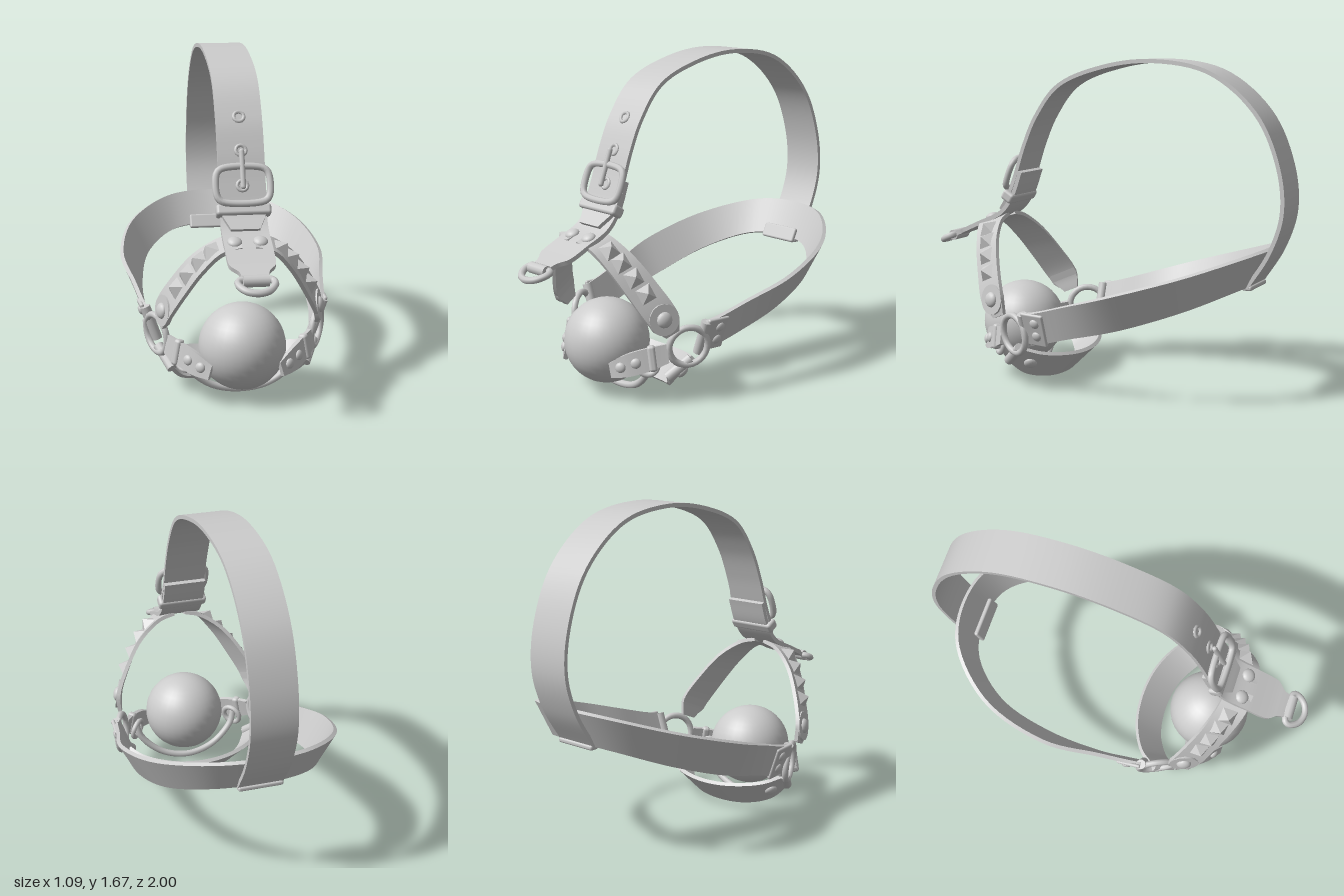
import * as THREE from 'three';
import { RoundedBoxGeometry } from 'three/addons/geometries/RoundedBoxGeometry.js';

const mat = new THREE.MeshStandardMaterial({ color: 0xcccccc });
const V = (x, y, z) => new THREE.Vector3(x, y, z);
const vecs = (list) => list.map((a) => V(...a));

// Every geometry gets an index so that it can be mirrored
function add(parent, name, geo) {
  if (!geo.index) geo.setIndex([...Array(geo.attributes.position.count).keys()]);
  const m = new THREE.Mesh(geo, mat);
  m.name = name;
  parent.add(m);
  return m;
}

// Flat strap swept along pts; ws are half-width vectors. Returns a frame lookup by point index.
function strap(parent, name, pts, ws, thick = 0.02, seg = 48) {
  const path = new THREE.CatmullRomCurve3(vecs(pts));
  const wide = new THREE.CatmullRomCurve3(vecs(ws), false, 'catmullrom');
  const frame = (k) => {
    const u = k / (pts.length - 1);
    const p = path.getPoint(u), t = path.getTangent(u), w = wide.getPoint(u);
    return { p, w, n: t.cross(w).normalize() };
  };
  const rings = [];
  for (let i = 0; i <= seg; i++) {
    const { p, w, n } = frame((i / seg) * (pts.length - 1));
    rings.push([[-1, -1], [1, -1], [1, 1], [-1, 1]].map(([a, b]) =>
      p.clone().addScaledVector(w, a).addScaledVector(n, (b * thick) / 2)));
  }
  const pos = [], idx = [];
  const put = (v) => pos.push(v.x, v.y, v.z) / 3 - 1;
  for (let c = 0; c < 4; c++) {
    rings.forEach((r, i) => {
      const a = put(r[c]), b = put(r[(c + 1) % 4]);
      if (i < seg) idx.push(a, b, b + 2, a, b + 2, a + 2);
    });
  }
  const s = rings[0].map(put), e = rings[seg].map(put);
  idx.push(s[0], s[2], s[1], s[0], s[3], s[2], e[0], e[1], e[2], e[0], e[2], e[3]);
  const g = new THREE.BufferGeometry();
  g.setAttribute('position', new THREE.Float32BufferAttribute(pos, 3));
  g.setIndex(idx);
  g.computeVertexNormals();
  add(parent, name, g);
  return frame;
}

// Puts a mesh on a strap: local x across, y out of the surface, z along the strap
function seat(mesh, f, across = 0, out = 0.01, along = 0) {
  const x = f.w.clone().normalize(), z = x.clone().cross(f.n).normalize();
  const y = z.clone().cross(x);
  mesh.quaternion.setFromRotationMatrix(new THREE.Matrix4().makeBasis(x, y, z));
  mesh.position.copy(f.p).addScaledVector(f.w, across).addScaledVector(y, out).addScaledVector(z, along);
}

const rivetGeo = (r) => new THREE.SphereGeometry(r, 14, 6, 0, Math.PI * 2, 0, Math.PI / 2).scale(1, 0.6, 1);
const wire = (list, r, closed = false) =>
  new THREE.TubeGeometry(new THREE.CatmullRomCurve3(vecs(list), closed), 48, r, 8, closed);
const mirrorX = (list) => [...list, ...list.slice(0, -1).reverse().map(([x, y, z]) => [-x, y, z])];

// Rod lying across a strap, such as a fold of leather round a ring
const crossRod = (r, len) => new THREE.CylinderGeometry(r, r, len, 12).rotateZ(Math.PI / 2);

// An x-mirrored copy with baked geometry
function mirrored(src, name) {
  const out = new THREE.Group();
  out.name = name;
  for (const m of src.children) {
    m.updateMatrix();
    const g = m.geometry.clone().applyMatrix4(m.matrix).scale(-1, 1, 1);
    const a = g.index.array;
    for (let i = 0; i < a.length; i += 3) [a[i + 1], a[i + 2]] = [a[i + 2], a[i + 1]];
    add(out, m.name, g);
  }
  return out;
}

function buildSide() {
  const side = new THREE.Group();
  side.name = 'leftSide';

  // Studded cheek strap
  const cheek = strap(side, 'cheekStrap',
    [[0.03, 0.825, 0.63], [0.12, 0.8, 0.62], [0.22, 0.715, 0.58], [0.31, 0.585, 0.52], [0.38, 0.45, 0.455], [0.39, 0.37, 0.41]],
    [[0, 0.02, -0.07], [0, 0.02, -0.07], [0.015, 0.025, -0.07], [0.02, 0.03, -0.07], [0.02, 0.03, -0.068], [0.01, 0.015, -0.035]]);
  for (let i = 0; i < 4; i++) {
    const cone = new THREE.ConeGeometry(0.058, 0.045, 4).rotateY(Math.PI / 4).toNonIndexed();
    cone.computeVertexNormals();
    seat(add(side, 'pyramidStud', cone), cheek(1.4 + i * 0.56), 0, 0.03);
  }
  seat(add(side, 'cheekRivet', rivetGeo(0.04)), cheek(4));
  seat(add(side, 'cheekEnd', new THREE.CylinderGeometry(0.078, 0.078, 0.022, 16)), cheek(4), 0, 0);

  // Ball tab with two rivets and its link
  const tab = strap(side, 'ballTab',
    [[0.17, 0.18, 0.615], [0.24, 0.21, 0.56], [0.31, 0.24, 0.48], [0.36, 0.265, 0.41]],
    [[-0.01, 0.035, 0], [-0.01, 0.055, 0], [-0.01, 0.055, 0], [-0.01, 0.045, 0]], 0.022, 20);
  for (const k of [0.6, 1.35]) seat(add(side, 'ballTabRivet', rivetGeo(0.026)), tab(k));
  seat(add(side, 'ballTabLoop', new RoundedBoxGeometry(0.13, 0.045, 0.04, 2, 0.015)), tab(2.1), 0, 0);
  const link = add(side, 'smallLink', new THREE.TorusGeometry(0.05, 0.014, 8, 20));
  link.position.set(0.28, 0.2, 0.47);
  link.lookAt(1.1, 0.4, 1.2);

  // Ring joining all straps of this side
  const ring = add(side, 'sideRing', new THREE.TorusGeometry(0.098, 0.017, 8, 28));
  ring.position.set(0.405, 0.29, 0.315);
  ring.lookAt(1.3, 0.2, 0.75);
  return side;
}

export function createModel() {
  const root = new THREE.Group();
  root.name = 'strapHarness';

  add(root, 'ball', new THREE.SphereGeometry(0.215, 32, 20)).position.set(0, 0.267, 0.49);

  const left = buildSide();
  root.add(left, mirrored(left, 'rightSide'));

  // Band round the back
  const backHalf = [[0.425, 0.325, 0.24], [0.44, 0.345, 0.15], [0.465, 0.39, 0], [0.488, 0.47, -0.28], [0.415, 0.575, -0.6], [0.22, 0.655, -0.81], [0, 0.672, -0.86]];
  const backWide = [[0.03, 0.085, 0], [0.03, 0.085, 0], [0.03, 0.085, 0], [0.05, 0.09, 0], [0.04, 0.09, -0.02], [0.015, 0.09, -0.04], [0, 0.09, -0.045]];
  const back = strap(root, 'backBand', mirrorX(backHalf), mirrorX(backWide), 0.02, 80);

  // Band under the chin
  const chinHalf = [[0.365, 0.175, 0.34], [0.3, 0.125, 0.265], [0.17, 0.095, 0.195], [0, 0.085, 0.17]];
  const chinWide = [[0.03, 0.045, -0.05], [0.02, 0.06, -0.065], [0.005, 0.065, -0.068], [0, 0.065, -0.068]];
  const chin = strap(root, 'chinBand', mirrorX(chinHalf), mirrorX(chinWide));

  // Folded ends and rivets of both bands; each pair is an end and a step inward
  for (const [end, step] of [[0, 1], [12, -1]]) {
    const f = back(end);
    seat(add(root, 'backBandFold', crossRod(0.026, f.w.length() * 2)), f, 0, 0);
    seat(add(root, 'backBandFlap', new RoundedBoxGeometry(0.18, 0.02, 0.13, 2, 0.009)), back(end + step * 0.75), 0, 0.012);
    for (const s of [-0.4, 0.4]) seat(add(root, 'backBandRivet', rivetGeo(0.026)), back(end + step * 0.9), s, 0.02);
  }
  for (const [end, step] of [[0, 1], [6, -1]]) {
    const f = chin(end);
    seat(add(root, 'chinBandFold', crossRod(0.026, f.w.length() * 2)), f, 0, 0);
    seat(add(root, 'chinRivet', rivetGeo(0.034)), chin(end + step * 0.85));
  }

  // Wire hoop under the ball
  add(root, 'lowerHoop', wire(mirrorX([[0.29, 0.25, 0.47], [0.265, 0.16, 0.455], [0.15, 0.055, 0.43], [0, 0.02, 0.415]]), 0.018));

  // Strap over the head
  const w = 0.113;
  const headPts = [[0, 0.87, 0.59], [0, 0.95, 0.52], [0, 1.06, 0.475], [0, 1.22, 0.42], [0, 1.37, 0.35], [0, 1.53, 0.22],
    [0, 1.625, -0.02], [0, 1.66, -0.3], [0, 1.605, -0.61], [0, 1.41, -0.85], [0, 1.155, -0.965], [0, 0.94, -0.985], [0, 0.75, -0.925], [0, 0.575, -0.815]];
  const head = strap(root, 'headStrap', headPts, headPts.map((p, i) => [i ? -w : -0.07, 0, 0]), 0.02, 90);
  for (const k of [2, 3, 4]) {
    seat(add(root, 'eyelet', new THREE.TorusGeometry(0.025, 0.009, 6, 12).rotateX(Math.PI / 2)), head(k));
  }
  // Tuck of the head strap round the back band
  const tuck = add(root, 'headStrapTuck', new RoundedBoxGeometry(0.225, 0.08, 0.025, 2, 0.01));
  tuck.position.set(0, 0.6, -0.795);
  tuck.rotation.x = -0.46;
  const hem = add(root, 'headStrapHem', new RoundedBoxGeometry(0.225, 0.025, 0.05, 2, 0.01));
  hem.position.set(0, 0.572, -0.815);

  // Buckle, prong and keeper
  const bx = 0.125, bz = 0.08, c = 0.025;
  const frameLoop = [];
  for (const [sx, sz] of [[1, 1], [-1, 1], [-1, -1], [1, -1]]) {
    const a = [sx * bx, 0, sz * (bz - c)], b = [sx * (bx - c), 0, sz * bz];
    frameLoop.push(...(sx * sz > 0 ? [a, b] : [b, a]));
  }
  seat(add(root, 'buckleFrame', wire(frameLoop, 0.017, true)), head(2), 0, 0.03);
  seat(add(root, 'buckleProng', new THREE.CapsuleGeometry(0.013, 0.17, 4, 8).rotateX(Math.PI / 2)), head(2), 0, 0.04, 0.075);
  seat(add(root, 'keeper', new RoundedBoxGeometry(0.265, 0.07, 0.055, 2, 0.015)), head(1), 0, -0.005);

  // Front tab with rivets and hanging ring
  const tab = strap(root, 'frontTab',
    [[0, 1.08, 0.445], [0, 0.95, 0.495], [0, 0.86, 0.565], [0, 0.795, 0.7], [0, 0.75, 0.8], [0, 0.73, 0.85], [0, 0.705, 0.91]],
    [[w, 0, 0], [w, 0, 0], [w, 0, 0], [w, 0, 0], [0.108, 0, 0], [0.07, 0, 0], [0.06, 0, 0]], 0.022, 40);
  for (const s of [-0.54, 0.54]) seat(add(root, 'tabRivet', rivetGeo(0.036)), tab(2.6), s);
  const end = tab(6);
  seat(add(root, 'tabFold', crossRod(0.028, 0.12)), end, 0, 0, -0.01);
  seat(add(root, 'frontRing', wire([[-0.075, 0, -0.015], [0.075, 0, -0.015], [0.085, 0, 0.01], [0.055, 0, 0.06], [0, 0, 0.08], [-0.055, 0, 0.06], [-0.085, 0, 0.01]], 0.017, true)), end, 0, 0);

  return root;
}
